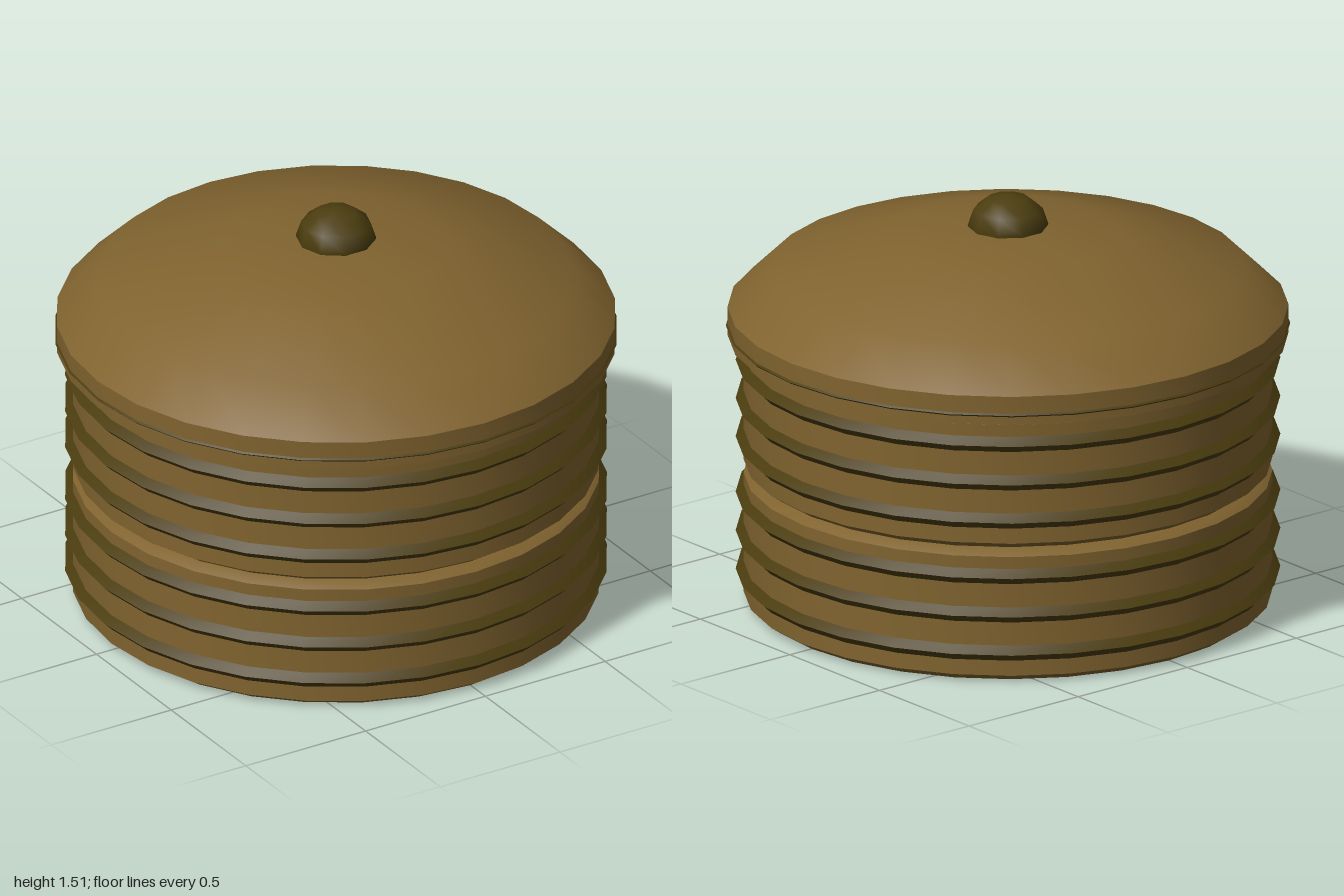
import * as THREE from 'three';
import { toCreasedNormals } from 'three/addons/utils/BufferGeometryUtils.js';

const SIDES = 28;
const CREASE = 0.6;

export function createModel() {
  const group = new THREE.Group();
  const wood = new THREE.MeshStandardMaterial({ name: 'brown wood', color: 0x80632f });
  const dark = new THREE.MeshStandardMaterial({ name: 'dark olive', color: 0x4b3d0f });

  const add = (name, geometry, material, y = 0) => {
    const mesh = new THREE.Mesh(geometry, material);
    mesh.name = name;
    mesh.position.y = y;
    group.add(mesh);
  };

  // Turned solid from [radius, height] pairs, bottom to top
  const turned = (profile) => toCreasedNormals(
    new THREE.LatheGeometry(profile.map(([r, y]) => new THREE.Vector2(r, y)), SIDES), CREASE);

  // Diamond-section hoop
  const hoop = (radius, size) => toCreasedNormals(
    new THREE.TorusGeometry(radius, size, 4, SIDES).rotateX(Math.PI / 2), CREASE);

  // Two stacked drums with bevelled rims, three hoops on each
  const drum = turned([[0, 0], [0.9, 0], [0.937, 0.025], [0.937, 0.47], [0.9, 0.495], [0, 0.495]]);
  const ring = hoop(0.935, 0.03);
  [['lower', 0], ['upper', 0.495]].forEach(([level, base]) => {
    add(level + 'Drum', drum, wood, base);
    [0.11, 0.253, 0.397].forEach((y, i) => add(level + 'Hoop' + (i + 1), ring, dark, base + y));
  });

  // Domed lid with a thin band round its rim
  add('lid', turned([[0, 0.985], [0.994, 0.985], [0.994, 1.09], [0.845, 1.235], [0.4, 1.365], [0, 1.4]]), wood);
  add('lidBand', hoop(0.99, 0.01), dark, 1.02);

  // Half-round knob
  const knob = new THREE.SphereGeometry(0.143, 10, 6).scale(1, 0.8, 1);
  add('knob', knob, dark, 1.395);

  return group;
}
